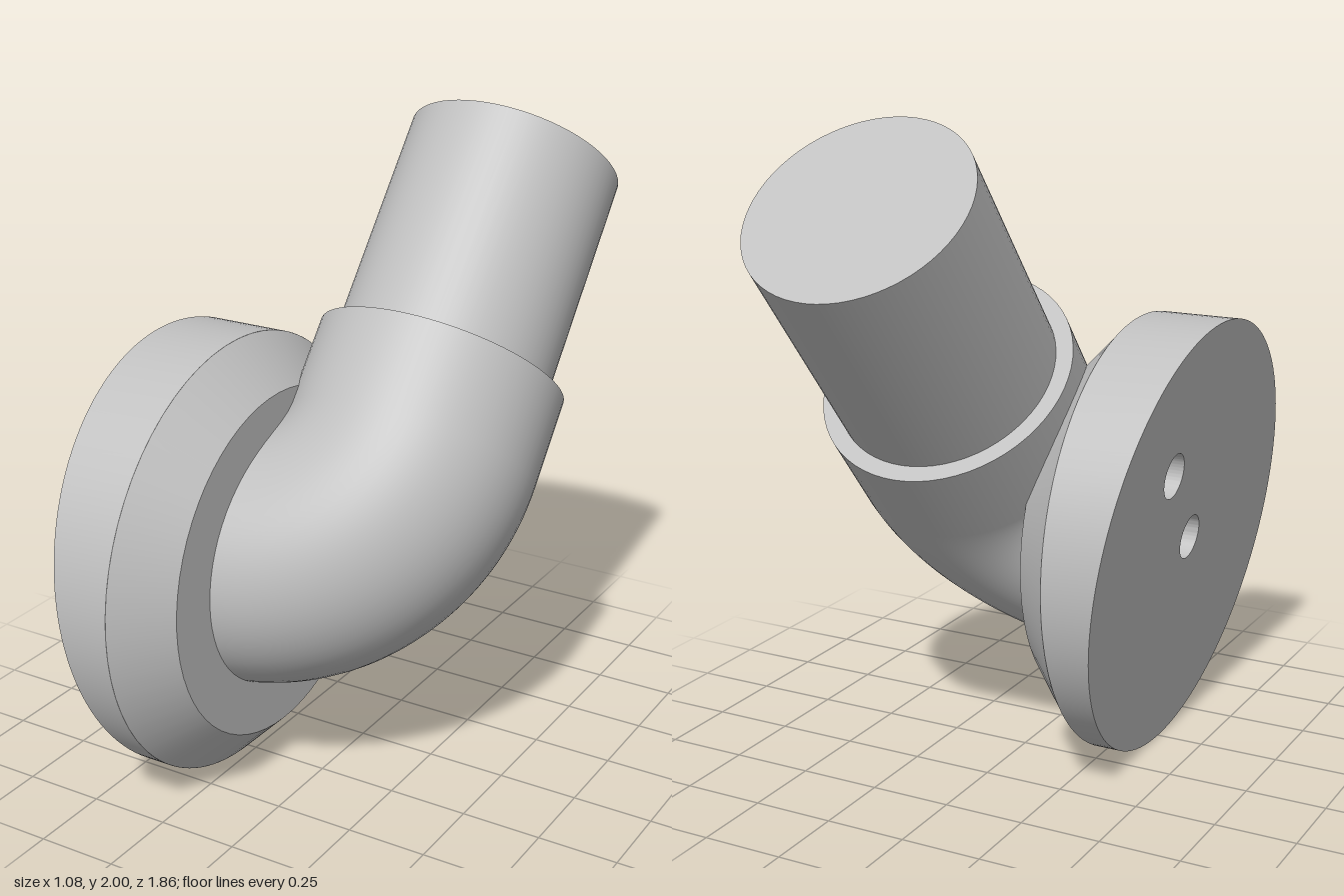
import * as THREE from 'three';
import { toCreasedNormals } from 'three/addons/utils/BufferGeometryUtils.js';

const AXIS_Y = 0.685, AXIS_Z = 0.245;   // centre of the flange
const FLANGE_R = 0.685, STEP_X = -0.28; // where the chamfer begins
const PIPE_X = 0.15, BEND_R = 0.43, PIPE_R = 0.39;
const TILT = THREE.MathUtils.degToRad(40); // pipe leans back
const SEG = 64;

export function createModel() {
  const model = new THREE.Group();
  const grey = new THREE.MeshStandardMaterial({ color: 0xc0c0c0 });

  const add = (parent, name, geometry, x = 0, y = 0) => {
    const mesh = new THREE.Mesh(geometry, grey);
    mesh.name = name;
    mesh.position.set(x, y, 0);
    parent.add(mesh);
    return mesh;
  };

  // Flange disc with two blind holes; its mounting face is cut at a slant
  const shape = new THREE.Shape().absarc(0, 0, FLANGE_R, 0, Math.PI * 2);
  for (const s of [0, 0.33]) {
    shape.holes.push(new THREE.Path().absarc(
      s * Math.sin(TILT), s * Math.cos(TILT), 0.07, 0, Math.PI * 2, true));
  }
  const disc = new THREE.ExtrudeGeometry(shape, { depth: 1, bevelEnabled: false, curveSegments: SEG });
  const p = disc.attributes.position;
  for (let i = 0; i < p.count; i++) {
    const slant = -0.35 - 0.139 * (p.getY(i) + AXIS_Y);
    p.setZ(i, p.getZ(i) < 0.5 ? slant : STEP_X);
  }
  disc.rotateY(Math.PI / 2);

  const flange = new THREE.Group();
  flange.name = 'flange';
  flange.position.set(0, AXIS_Y, AXIS_Z);
  add(flange, 'flangeDisc', toCreasedNormals(disc, 0.5));

  // Chamfered step, whose hidden base closes the holes
  const chamfer = new THREE.CylinderGeometry(0.543, FLANGE_R, 0.14, SEG);
  chamfer.rotateZ(-Math.PI / 2);
  add(flange, 'flangeChamfer', chamfer, STEP_X + 0.07);
  model.add(flange);

  // Elbow and pipe, built upright then leaned back
  const elbow = new THREE.Group();
  elbow.name = 'elbow';
  elbow.position.set(0, AXIS_Y, AXIS_Z);
  elbow.rotation.x = -TILT;

  const bend = new THREE.TorusGeometry(BEND_R, PIPE_R, SEG, 40, Math.PI / 2);
  bend.rotateZ(-Math.PI / 2);
  add(elbow, 'bend', bend, PIPE_X - BEND_R, BEND_R);

  const cylinder = (name, r, from, to) =>
    add(elbow, name, new THREE.CylinderGeometry(r, r, to - from, SEG), PIPE_X, (from + to) / 2);
  cylinder('collar', PIPE_R, BEND_R, 0.715);
  cylinder('pipe', 0.338, 0.6, 1.432);
  model.add(elbow);

  return model;
}
